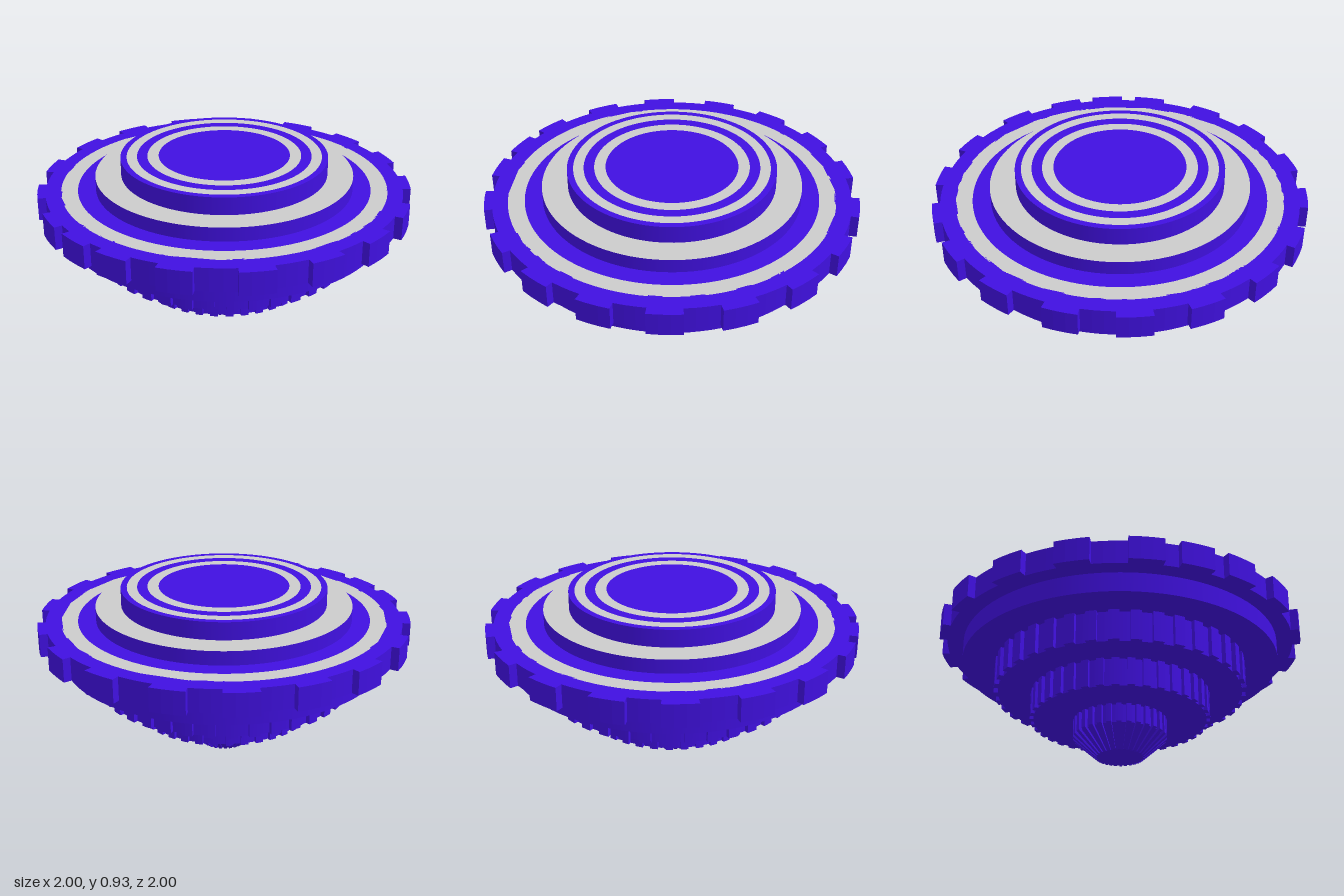
import * as THREE from 'three';

const blue = new THREE.MeshStandardMaterial({ color: 0x4010e0 });
const grey = new THREE.MeshStandardMaterial({ color: 0xcccccc });
const SEG = 96;

// Toothed outline: each tooth starts at an angle (degrees) and spans a width
function gearShape(inner, outer, starts, width) {
  const pts = [];
  const arc = (r, a, b, n) => {
    for (let i = 0; i <= n; i++) {
      const t = THREE.MathUtils.degToRad(a + ((b - a) * i) / n);
      pts.push(new THREE.Vector2(r * Math.sin(t), r * Math.cos(t)));
    }
  };
  starts.forEach((a, i) => {
    const next = i + 1 < starts.length ? starts[i + 1] : starts[0] + 360;
    arc(outer, a, a + width, 3);
    arc(inner, a + width, next, 3);
  });
  return new THREE.Shape(pts);
}

// Upright extrusion between two heights
function extrudeUp(shape, y0, y1) {
  const g = new THREE.ExtrudeGeometry(shape, { depth: y1 - y0, bevelEnabled: false });
  g.rotateX(-Math.PI / 2);
  g.translate(0, y0, 0);
  return g;
}

const evenStarts = (n) => Array.from({ length: n }, (_, i) => (i * 360) / n);

export function createModel() {
  const group = new THREE.Group();
  const add = (name, geometry, material = blue) => {
    const mesh = new THREE.Mesh(geometry, material);
    mesh.name = name;
    group.add(mesh);
  };

  // Plain round drums: name, radius, bottom, top (top faces are made of rings)
  for (const [name, r, y0, y1] of [
    ['topDrum', 0.553, 0.83, 0.925],
    ['upperDrum', 0.69, 0.755, 0.83],
    ['lowerDrum', 0.87, 0.525, 0.63],
  ]) {
    const g = new THREE.CylinderGeometry(r, r, y1 - y0, SEG, 1, true);
    g.translate(0, (y0 + y1) / 2, 0);
    add(name, g);
  }
  const under = new THREE.CircleGeometry(0.87, SEG);
  under.rotateX(Math.PI / 2);
  under.translate(0, 0.525, 0);
  add('lowerDrumBase', under);

  // Coloured bands on the top faces: height, inner radius, outer radius, material
  [
    [0.925, 0, 0.35, blue],
    [0.925, 0.35, 0.41, grey],
    [0.925, 0.41, 0.465, blue],
    [0.925, 0.465, 0.52, grey],
    [0.925, 0.52, 0.553, blue],
    [0.83, 0.553, 0.69, grey],
    [0.755, 0.69, 0.786, blue],
    [0.755, 0.786, 0.875, grey],
  ].forEach(([y, r0, r1, material], i) => {
    const g = r0 ? new THREE.RingGeometry(r0, r1, SEG) : new THREE.CircleGeometry(r1, SEG);
    g.rotateX(-Math.PI / 2);
    g.translate(0, y, 0);
    add('topBand' + (i + 1), g, material);
  });

  // Large rim with unevenly spaced teeth
  const rimStarts = [
    10.4, 31, 52, 73, 93, 113, 133.5, 156, 175, 190, 205, 226, 246.5, 268, 288, 308.5, 328.5, 349.8,
  ];
  const rim = gearShape(0.957, 1, rimStarts, 10.3);
  rim.holes.push(new THREE.Path().absarc(0, 0, 0.875, 0, Math.PI * 2));
  rim.curves.length; // outline is made of straight segments
  add('toothedRim', extrudeUp(rim, 0.63, 0.755));
  const rimBase = new THREE.RingGeometry(0.86, 0.88, SEG);
  rimBase.rotateX(Math.PI / 2);
  rimBase.translate(0, 0.63, 0);
  add('rimBase', rimBase);

  // Finely toothed tiers stepping down to the foot
  add('wideGear', extrudeUp(gearShape(0.668, 0.692, evenStarts(38), 4.7), 0.36, 0.525));
  add('middleGear', extrudeUp(gearShape(0.47, 0.49, evenStarts(38), 4.7), 0.21, 0.36));
  const footShape = gearShape(0.235, 0.255, evenStarts(30), 6);
  add('smallGear', extrudeUp(footShape, 0.11, 0.21));

  // Tapered toothed tip
  const tip = extrudeUp(footShape, 0, 0.11);
  const p = tip.attributes.position;
  for (let i = 0; i < p.count; i++) {
    if (p.getY(i) < 0.01) p.setXYZ(i, p.getX(i) * 0.52, 0, p.getZ(i) * 0.52);
  }
  tip.computeVertexNormals();
  add('taperedTip', tip);

  return group;
}
